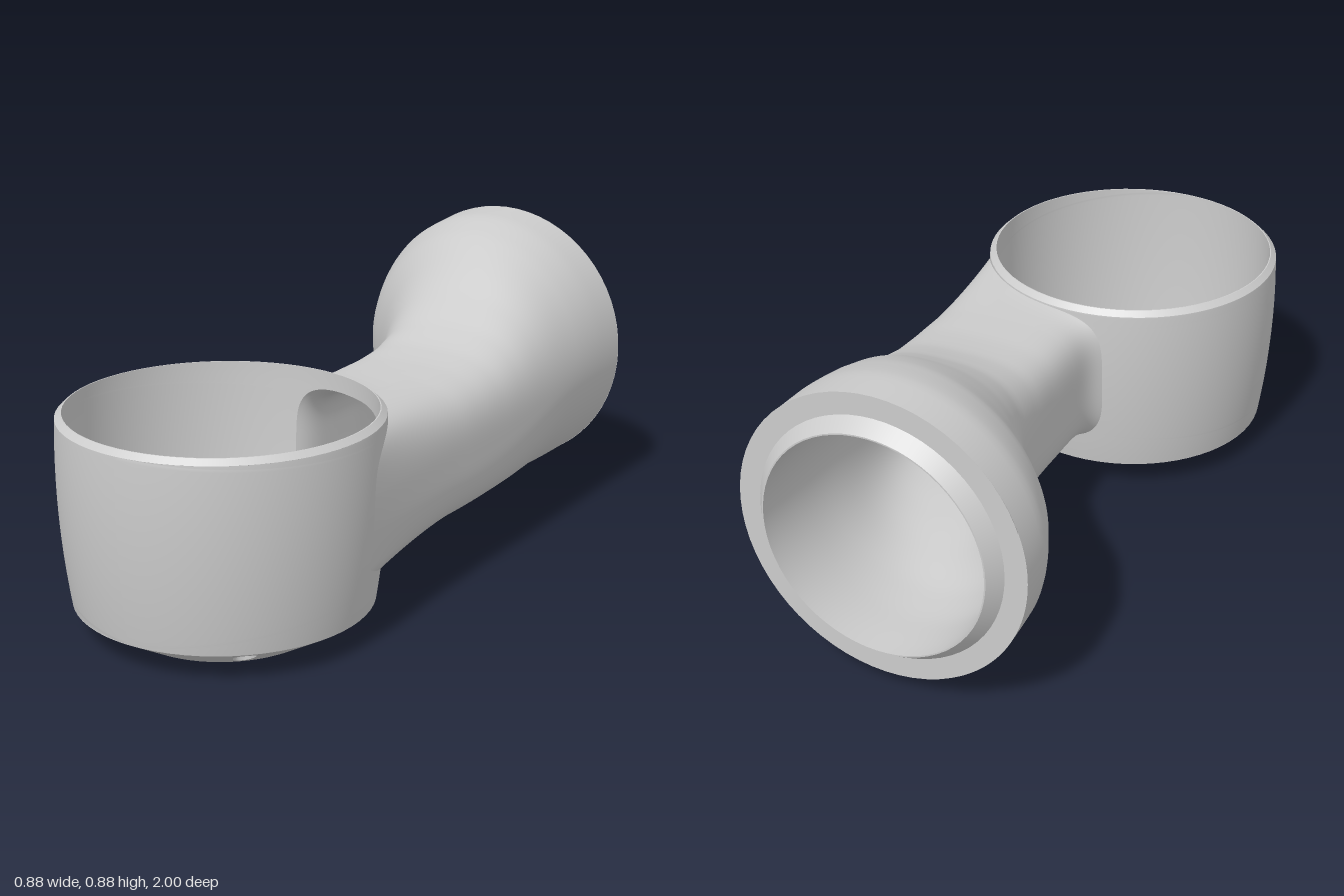
import * as THREE from 'three';

const material = new THREE.MeshStandardMaterial({ color: 0xcccccc, side: THREE.DoubleSide });
const { lerp, smoothstep } = THREE.MathUtils;
const CUP_Z = 0.56, SOCKET_Y = 0.463, N = 256;
const V = (x, y, z) => new THREE.Vector3(x, y, z);

function add(parent, name, geometry) {
  const mesh = new THREE.Mesh(geometry, material);
  mesh.name = name;
  parent.add(mesh);
  return mesh;
}

// Skin over closed rings that share one point count
function skin(rings) {
  const n = rings[0].length, index = [];
  for (let j = 0; j < rings.length - 1; j++) {
    for (let i = 0; i < n; i++) {
      const a = j * n + i, b = j * n + (i + 1) % n;
      index.push(a, b, b + n, a, b + n, a + n);
    }
  }
  const g = new THREE.BufferGeometry().setFromPoints(rings.flat());
  g.setIndex(index);
  g.computeVertexNormals();
  return g;
}

// Perimeter of a square from -1 to 1, corners included
function square(n) {
  const side = n / 4, pts = [];
  for (let i = 0; i < n; i++) {
    const k = Math.floor(i / side), t = (i % side) / side * 2 - 1;
    pts.push([[t, -1], [1, t], [-t, 1], [-1, -t]][k]);
  }
  return pts;
}

// Superellipse filling a box, with its own squareness on the low and high x side
function oval(n, x0, x1, y0, y1, lowPower, highPower) {
  return square(n).map(([x, y]) => {
    const p = x < 0 ? lowPower : highPower;
    const d = (Math.abs(x) ** p + Math.abs(y) ** p) ** (1 / p);
    return [lerp(x0, x1, (x / d + 1) / 2), lerp(y0, y1, (y / d + 1) / 2)];
  });
}

// Rings running from the edge of a rectangle to a hole, mapped onto a surface
function holedPatch(n, u0, u1, v0, v1, hole, steps, map) {
  const frame = square(n), rings = [];
  for (let j = 0; j <= steps; j++) {
    rings.push(frame.map(([x, y], i) => map(
      lerp(lerp(u0, u1, (x + 1) / 2), hole[i][0], j / steps),
      lerp(lerp(v0, v1, (y + 1) / 2), hole[i][1], j / steps))));
  }
  return skin(rings);
}

// Each profile segment is its own lathe, so edges stay sharp
function turned(parent, name, points) {
  const g = new THREE.Group();
  g.name = name;
  for (let i = 0; i < points.length - 1; i++) {
    add(g, name + 'Face', new THREE.LatheGeometry(
      [points[i], points[i + 1]].map(p => new THREE.Vector2(...p)), 64));
  }
  parent.add(g);
  return g;
}

// Arm outline from socket (z = -0.96) to neck (z = 0): left x, bottom y, top y
const outline = new THREE.CatmullRomCurve3([
  V(-0.416, 0.049, 0.877), V(-0.405, 0.051, 0.87), V(-0.352, 0.065, 0.837),
  V(-0.25, 0.095, 0.777), V(-0.163, 0.124, 0.705), V(-0.102, 0.146, 0.642),
  V(-0.08, 0.158, 0.603), V(-0.072, 0.163, 0.588), V(-0.07, 0.165, 0.585),
]);

function section(z, inset) {
  const p = outline.getPoint(Math.max(0, (z + 0.96) / 0.96));
  const blend = smoothstep(z, -0.7, -0.05);
  return oval(N, p.x + inset, 0.414 - inset, p.y + inset, p.z - inset,
    lerp(2, 4, blend), lerp(2, 3.2, blend));
}

// Cup wall radii, and the openings where the arm meets them
const outerRadius = y => 0.44 - 0.03 * ((0.47 - y) / 0.39) ** 2;
const innerRadius = y => 0.418 - 0.022 * ((0.61 - y) / 0.49) ** 2;
const outerOpening = oval(N, -0.1, 0.433, 0.157, 0.59, 4, 5)
  .map(([x, y]) => [Math.min(x, 0.985 * outerRadius(y)), y]);
const innerOpening = oval(N, -0.05, 0.37, 0.205, 0.56, 4, 3.2);

// Arm skin, with a small fillet into the opening in the round cup wall
function armSkin(zStart, insetAt, opening, radius) {
  const rings = [];
  for (let j = 0; j <= 40; j++) {
    const z = lerp(zStart, 0, j / 40);
    rings.push(section(z, insetAt(z)).map(([x, y]) => V(x, y, z)));
  }
  const neck = section(0, insetAt(0));
  for (let j = 1; j <= 16; j++) {
    const t = j / 16;
    rings.push(opening.map(([x, y], i) => {
      const ease = t ** (x < neck[i][0] ? 4 : 1.5);
      return V(lerp(neck[i][0], x, ease), lerp(neck[i][1], y, ease),
        (CUP_Z - Math.sqrt(radius(y) ** 2 - x * x)) * t);
    }));
  }
  return skin(rings);
}

// Cup wall with the arm opening cut through it
function cupWall(y0, y1, opening, radius) {
  const hole = opening.map(([x, y]) => [Math.asin(x / radius(y)), y]);
  return holedPatch(N, -Math.PI, Math.PI, y0, y1, hole, 40, (u, y) =>
    V(radius(y) * Math.sin(u), y, CUP_Z - radius(y) * Math.cos(u)));
}

export function createModel() {
  const model = new THREE.Group();
  model.name = 'elbowHousing';

  // Hollow arm
  const innerInset = z => lerp(0.095, 0.05, smoothstep(z, -0.96, -0.2));
  add(model, 'armOuter', armSkin(-0.96, () => 0, outerOpening, outerRadius));
  add(model, 'armInner', armSkin(-1, innerInset, innerOpening, innerRadius));

  // Socket rim with its chamfered collar
  const rim = turned(model, 'socketRim',
    [[0.415, -0.96], [0.353, -0.96], [0.322, -1], [0.318, -1]]);
  rim.rotation.x = Math.PI / 2;
  rim.position.y = SOCKET_Y;

  // Cup walls, rim and floor
  add(model, 'cupOuterWall', cupWall(0.08, 0.595, outerOpening, outerRadius));
  add(model, 'cupInnerWall', cupWall(0.1, 0.61, innerOpening, innerRadius));
  turned(model, 'cupRim', [[0.418, 0.61], [0.421, 0.61], [0.437, 0.595]]).position.z = CUP_Z;
  turned(model, 'cupFloor', [[0.395, 0.1], [0.27, 0.045], [0, 0.045]]).position.z = CUP_Z;
  turned(model, 'cupBase', [[0, 0], [0.272, 0]]).position.z = CUP_Z;

  // Sloped underside in four quarters, each with a slot and a screw boss
  const slot = oval(64, -0.085, 0.085, 0.17, 0.87, 2.5, 2.5);
  const cone = (u, v) => {
    const r = lerp(0.272, 0.41, v);
    return V(r * Math.sin(u), 0.08 * v, r * Math.cos(u));
  };
  const depth = V(0, 0.025, 0);
  for (let k = 0; k < 4; k++) {
    const quarter = new THREE.Group();
    quarter.name = 'baseQuarter';
    quarter.position.z = CUP_Z;
    quarter.rotation.y = Math.PI / 4 + k * Math.PI / 2;
    add(quarter, 'slopedBase',
      holedPatch(64, -Math.PI / 4, Math.PI / 4, 0, 1, slot, 8, cone));

    const edge = slot.map(([u, v]) => cone(u, v));
    const deep = edge.map(p => p.clone().add(depth));
    const centre = cone(0, 0.52).add(depth);
    add(quarter, 'slotWall', skin([edge, deep]));
    add(quarter, 'slotEnd', skin([deep, deep.map(() => centre.clone())]));

    // Tilted boss with a small bore in its end
    const boss = new THREE.Group();
    boss.name = 'screwBoss';
    add(boss, 'bossBody', new THREE.CylinderGeometry(0.03, 0.03, 0.07, 24, 1, true));
    add(boss, 'bossEnd', new THREE.RingGeometry(0.012, 0.03, 24)
      .rotateX(-Math.PI / 2).translate(0, 0.035, 0));
    add(boss, 'bossBore', new THREE.CylinderGeometry(0.012, 0.012, 0.04, 16, 1, true)
      .translate(0, 0.015, 0));
    boss.position.set(0, 0.125, 0.35);
    boss.rotation.x = 0.5;
    quarter.add(boss);
    model.add(quarter);
  }
  return model;
}
